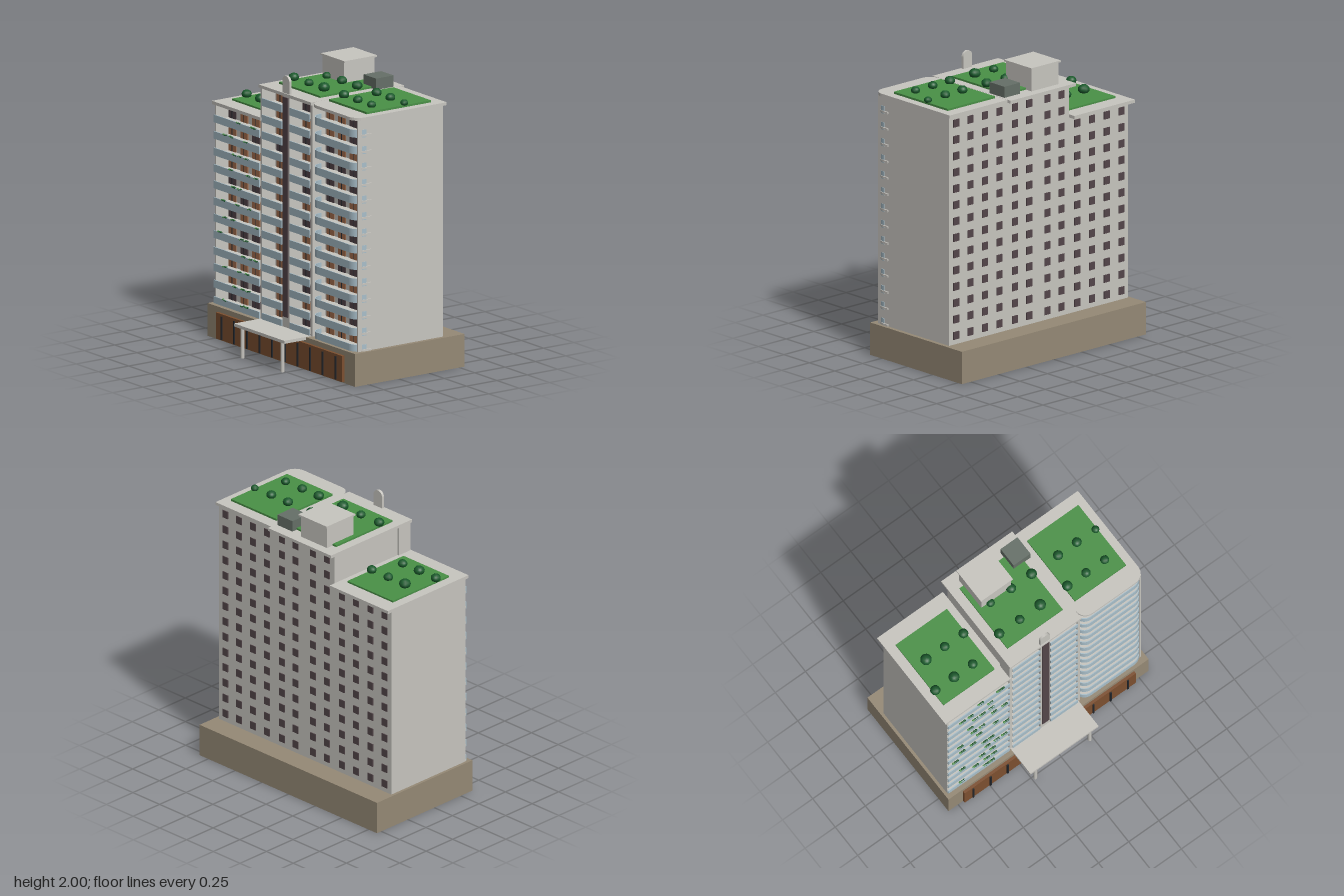
import * as THREE from 'three';

const mat = (name, color, side = THREE.FrontSide) => {
  const m = new THREE.MeshStandardMaterial({ color, side });
  m.name = name;
  return m;
};

export function createModel() {
  const M = {
    wall: mat('concrete', 0xc8c6c0),
    podium: mat('podium stone', 0x968a76),
    shop: mat('shopfront wood', 0x7d5030),
    dark: mat('dark frame', 0x23262b),
    glass: mat('balcony glass', 0xa9bfca),
    plum: mat('dark window', 0x54464a),
    orange: mat('curtained window', 0xa8714f),
    grass: mat('roof grass', 0x4a9147),
    bush: mat('bush green', 0x1a5a2c),
    plant: mat('plant room grey', 0x667068),
  };
  const model = new THREE.Group();
  model.name = 'apartmentTower';
  const unit = new THREE.BoxGeometry(1, 1, 1);

  let seed = 7;
  const rand = () => (seed = (seed * 16807) % 2147483647) / 2147483647;

  const group = (name) => {
    const g = new THREE.Group();
    g.name = name;
    model.add(g);
    return g;
  };
  // Box given by its lower and upper limits on each axis
  const box = (name, m, x0, x1, y0, y1, z0, z1, parent = model) => {
    const b = new THREE.Mesh(unit, m);
    b.name = name;
    b.scale.set(x1 - x0, y1 - y0, z1 - z0);
    b.position.set((x0 + x1) / 2, (y0 + y1) / 2, (z0 + z1) / 2);
    parent.add(b);
    return b;
  };
  // Plan outline with rounded front corners, as points of (x, -z)
  const plan = (x0, x1, z0, z1, r) => {
    const pts = [[x0, -z0]];
    for (let i = 0; i <= 8; i++) {
      const a = (i / 8) * Math.PI / 2;
      pts.push([x0 + r - r * Math.cos(a), -(z1 - r + r * Math.sin(a))]);
    }
    for (let i = 0; i <= 8; i++) {
      const a = (i / 8) * Math.PI / 2;
      pts.push([x1 - r + r * Math.sin(a), -(z1 - r + r * Math.cos(a))]);
    }
    pts.push([x1, -z0]);
    return pts.map(([x, y]) => new THREE.Vector2(x, y));
  };
  const extrudeUp = (pts, h) =>
    new THREE.ExtrudeGeometry(new THREE.Shape(pts), { depth: h, bevelEnabled: false }).rotateX(-Math.PI / 2);
  const place = (name, geo, m, y, parent = model) => {
    const o = new THREE.Mesh(geo, m);
    o.name = name;
    o.position.y = y;
    parent.add(o);
  };

  const BASE = 0.225, PITCH = 0.1135, FACE = 0.21, BACK = -0.385;
  const floorY = (i) => BASE + i * PITCH;
  const topMain = floorY(14), topLeft = floorY(12);

  // Podium, shopfront and entrance canopy
  box('podium', M.podium, -0.83, 0.83, 0, BASE, -0.54, 0.36);
  box('shopfront', M.shop, -0.71, 0.71, 0.01, 0.19, 0.36, 0.38);
  for (let i = 0; i < 10; i++) {
    const x = -0.64 + (i * 1.28) / 9;
    box('shopMullion', M.dark, x - 0.006, x + 0.006, 0.015, 0.175, 0.38, 0.388);
  }
  box('canopy', M.wall, -0.285, 0.28, 0.207, 0.228, 0.3, 0.54);
  for (const x of [-0.225, 0.225]) {
    const c = new THREE.Mesh(new THREE.CylinderGeometry(0.013, 0.013, 0.21, 12), M.wall);
    c.name = 'canopyColumn';
    c.position.set(x, 0.105, 0.515);
    model.add(c);
  }

  // Tower bodies and the walls that flank the balconies
  box('leftWing', M.wall, -0.8, -0.28, BASE, topLeft, BACK, FACE);
  box('mainTower', M.wall, -0.28, 0.8, BASE, topMain, BACK, FACE);
  box('endWallLeft', M.wall, -0.81, -0.795, BASE, topLeft, BACK, 0.315);
  box('endWallRight', M.wall, 0.79, 0.802, BASE, topMain, BACK, 0.315);
  for (const x of [-0.282, 0.282]) box('wingWall', M.wall, x - 0.009, x + 0.009, BASE, topMain, FACE, 0.318);

  // Roof slabs and lawns
  box('leftRoof', M.wall, -0.828, -0.282, topLeft, topLeft + 0.022, -0.435, 0.325);
  box('centreRoof', M.wall, -0.296, 0.294, topMain, topMain + 0.021, -0.436, 0.33);
  place('rightRoof', extrudeUp(plan(0.294, 0.815, -0.405, 0.345, 0.08), 0.02), M.wall, topMain);
  const lawns = [[-0.76, -0.335, topLeft], [-0.23, 0.23, topMain], [0.33, 0.755, topMain]];
  for (const [x0, x1, y] of lawns) box('roofLawn', M.grass, x0, x1, y + 0.02, y + 0.034, -0.32, 0.21);

  // Roof bushes: x, z, radius
  const bushGeo = new THREE.IcosahedronGeometry(1, 1);
  const bushes = group('roofBushes');
  const beds = [
    [topLeft, [[-0.665, -0.11, 0.04], [-0.51, -0.11, 0.033], [-0.355, -0.11, 0.034],
      [-0.745, 0.1, 0.035], [-0.59, 0.1, 0.038], [-0.435, 0.1, 0.033]]],
    [topMain, [[-0.13, -0.11, 0.03], [0.04, -0.11, 0.035], [0.21, -0.11, 0.037],
      [-0.215, 0.1, 0.036], [-0.045, 0.1, 0.032], [0.125, 0.1, 0.04]]],
    [topMain, [[0.43, -0.11, 0.035], [0.585, -0.11, 0.034], [0.74, -0.11, 0.027],
      [0.35, 0.1, 0.036], [0.505, 0.1, 0.033], [0.66, 0.1, 0.031]]],
  ];
  for (const [y, list] of beds) for (const [x, z, r] of list) {
    const b = new THREE.Mesh(bushGeo, M.bush);
    b.name = 'bush';
    b.scale.set(r, r * 0.85, r);
    b.rotation.y = x * 9;
    b.position.set(x, y + 0.028 + r * 0.7, z);
    bushes.add(b);
  }

  // Stair penthouse and plant box
  box('penthouse', M.wall, -0.197, 0.048, topMain, 1.99, -0.373, -0.122);
  box('penthouseCap', M.wall, -0.206, 0.06, 1.988, 2, -0.385, -0.115);
  box('plantBox', M.plant, 0.14, 0.28, topMain + 0.015, 1.912, -0.36, -0.215);

  // Arched central fin with its dark strip
  const fin = new THREE.Shape();
  fin.moveTo(-0.04, BASE);
  fin.lineTo(0.04, BASE);
  fin.lineTo(0.04, 1.915);
  fin.absarc(0, 1.915, 0.04, 0, Math.PI, false);
  fin.lineTo(-0.04, BASE);
  const finGeo = new THREE.ExtrudeGeometry(fin, { depth: 0.018, bevelEnabled: false, curveSegments: 16 });
  finGeo.translate(0, 0, 0.305);
  place('centralFin', finGeo, M.wall, 0);
  box('finSpine', M.wall, -0.035, 0.035, BASE, topMain, FACE, 0.31);
  box('finStrip', M.plum, -0.028, 0.028, 0.3, 1.808, 0.322, 0.331);

  // Balcony geometry of the curved right wing
  const slabGeo = extrudeUp(plan(0.292, 0.812, FACE, 0.332, 0.08), 0.014);
  const outer = plan(0.294, 0.806, 0.25, 0.336, 0.075);
  const inner = plan(0.3, 0.8, 0.25, 0.33, 0.069);
  const railGeo = extrudeUp([...outer, ...inner.reverse()], 0.053);

  // Balconies floor by floor
  const balconies = group('balconies');
  const straight = [[-0.81, -0.292, 12], [-0.272, -0.04, 14], [0.04, 0.272, 14]];
  for (let i = 0; i < 14; i++) {
    const y = floorY(i);
    for (const [x0, x1, count] of straight) {
      if (i >= count) continue;
      box('balconySlab', M.wall, x0, x1, y + 0.002, y + 0.014, FACE, 0.32, balconies);
      box('balconyGlass', M.glass, x0 + 0.004, x1 - 0.002, y - 0.006, y + 0.046, 0.32, 0.327, balconies);
    }
    place('curvedSlab', slabGeo, M.wall, y + 0.001, balconies);
    place('curvedGlass', railGeo, M.glass, y - 0.006, balconies);
  }

  // Windows, front and back, one per bay and floor
  const windows = group('windows');
  const bays = [-0.75, -0.617, -0.484, -0.351, -0.21, -0.082, 0.082, 0.21, 0.351, 0.482, 0.613, 0.74];
  for (let i = 0; i < 14; i++) {
    const y = floorY(i);
    bays.forEach((x, b) => {
      if (b < 4 && i >= 12) return;
      const m = rand() < 0.4 ? M.plum : M.orange;
      box('frontWindow', m, x - 0.042, x + 0.042, y + 0.014, y + 0.1, FACE, FACE + 0.006, windows);
      box('windowMullion', M.dark, x - 0.002, x + 0.002, y + 0.014, y + 0.1, FACE, FACE + 0.009, windows);
      box('windowTransom', M.dark, x - 0.042, x + 0.042, y + 0.079, y + 0.082, FACE, FACE + 0.008, windows);
      box('backWindow', M.plum, x - 0.025, x + 0.025, y + 0.035, y + 0.088, BACK - 0.006, BACK, windows);
    });
  }

  // Trailing plants along the left wing balconies
  const vines = group('balconyPlants');
  const leafGeo = new THREE.IcosahedronGeometry(1, 0);
  for (let i = 0; i < 12; i++) for (let k = 0; k < 3; k++) {
    const x = -0.78 + rand() * 0.46;
    for (let j = 0; j < 3; j++) {
      const l = new THREE.Mesh(leafGeo, j ? M.bush : M.grass);
      l.name = 'trailingPlant';
      l.scale.set(0.012, 0.006, 0.009);
      l.position.set(x + (j - 1) * 0.016, floorY(i) + 0.047 - rand() * 0.006, 0.322);
      vines.add(l);
    }
  }
  return model;
}
